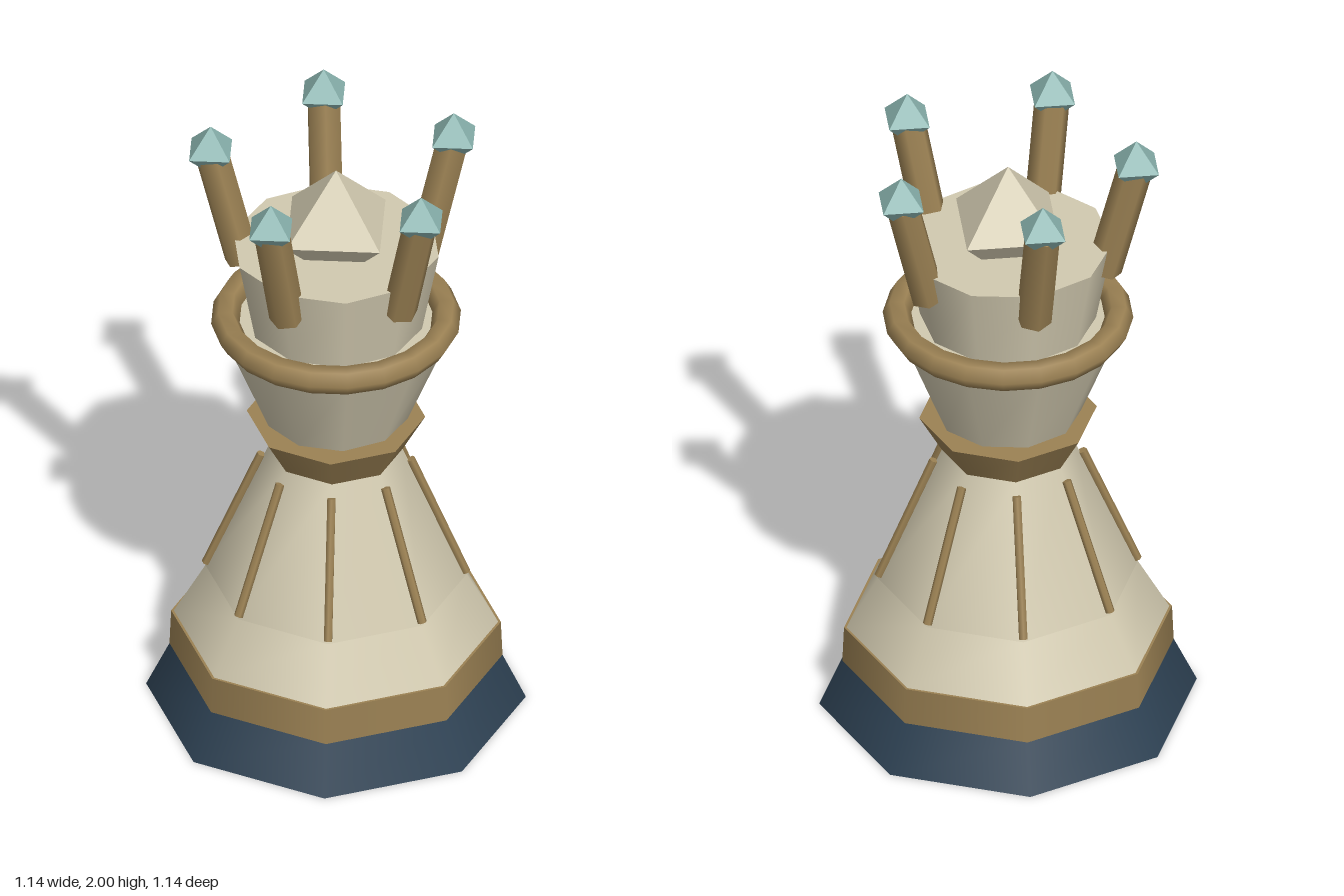
import * as THREE from 'three';

const material = (name, color, flatShading = false) => {
  const m = new THREE.MeshStandardMaterial({ color, flatShading });
  m.name = name;
  return m;
};

export function createModel() {
  const root = new THREE.Group();
  root.name = 'chessTower';
  const navy = material('navy', 0x2e4254);
  const gold = material('gold', 0x9c8254);
  const cream = material('cream', 0xd2cab0);
  const teal = material('paleTeal', 0x8bb5b0);

  const add = (name, geometry, mat, parent = root) => {
    const mesh = new THREE.Mesh(geometry, mat);
    mesh.name = name;
    parent.add(mesh);
    return mesh;
  };

  // Tapered polygonal section between two heights
  const section = (name, y0, y1, r0, r1, sides, mat) => {
    const mesh = add(name, new THREE.CylinderGeometry(r1, r0, y1 - y0, sides), mat);
    mesh.position.y = (y0 + y1) / 2;
  };

  // Octagonal base, skirt and collar
  section('base', 0, 0.15, 0.57, 0.5, 8, navy);
  section('baseBand', 0.15, 0.27, 0.5, 0.495, 8, gold);
  section('skirt', 0.27, 0.44, 0.487, 0.392, 8, cream);
  section('body', 0.44, 0.89, 0.392, 0.2, 8, cream);
  section('collar', 0.89, 1.01, 0.2, 0.268, 8, gold);

  // Ten-sided cup and crown drum, floating just above the collar
  section('cup', 1.025, 1.36, 0.22, 0.355, 10, cream);
  section('crownDrum', 1.36, 1.63, 0.264, 0.315, 10, cream);

  // Ring around the cup
  const ring = add('ring', new THREE.TorusGeometry(0.333, 0.043, 6, 20), gold);
  ring.rotation.x = Math.PI / 2;
  ring.position.y = 1.363;

  // Central gem
  add('centreGem', new THREE.OctahedronGeometry(0.198), cream).position.y = 1.7;

  // Thin ribs lying along the eight body corners
  const ribTop = new THREE.Vector2(0.224, 0.855);
  const ribBottom = new THREE.Vector2(0.39, 0.45);
  const ribLength = ribTop.distanceTo(ribBottom);
  const ribGeometry = new THREE.CylinderGeometry(0.014, 0.014, ribLength, 6);
  for (let i = 0; i < 8; i++) {
    const pivot = new THREE.Group();
    pivot.name = 'ribPivot';
    pivot.rotation.y = (i * Math.PI) / 4;
    root.add(pivot);
    const rib = add('rib', ribGeometry, gold, pivot);
    rib.position.set(0, (ribTop.y + ribBottom.y) / 2, (ribTop.x + ribBottom.x) / 2);
    rib.rotation.x = Math.atan2(ribTop.x - ribBottom.x, ribTop.y - ribBottom.y);
  }

  // Five outward-leaning prongs with crystal tips
  const prongGeometry = new THREE.CylinderGeometry(0.054, 0.054, 0.38, 6);
  const tipGeometry = new THREE.OctahedronGeometry(0.086);
  for (let i = 0; i < 5; i++) {
    const angle = (i * Math.PI * 2) / 5;
    const pivot = new THREE.Group();
    pivot.name = 'prongPivot';
    pivot.rotation.y = angle;
    root.add(pivot);
    const prong = add('prong', prongGeometry, gold, pivot);
    prong.position.set(0, 1.72, 0.335);
    prong.rotation.x = 0.25;
    // Tips all keep the same orientation
    const tip = add('prongTip', tipGeometry, teal);
    tip.position.set(0.385 * Math.sin(angle), 1.914, 0.385 * Math.cos(angle));
  }
  return root;
}
